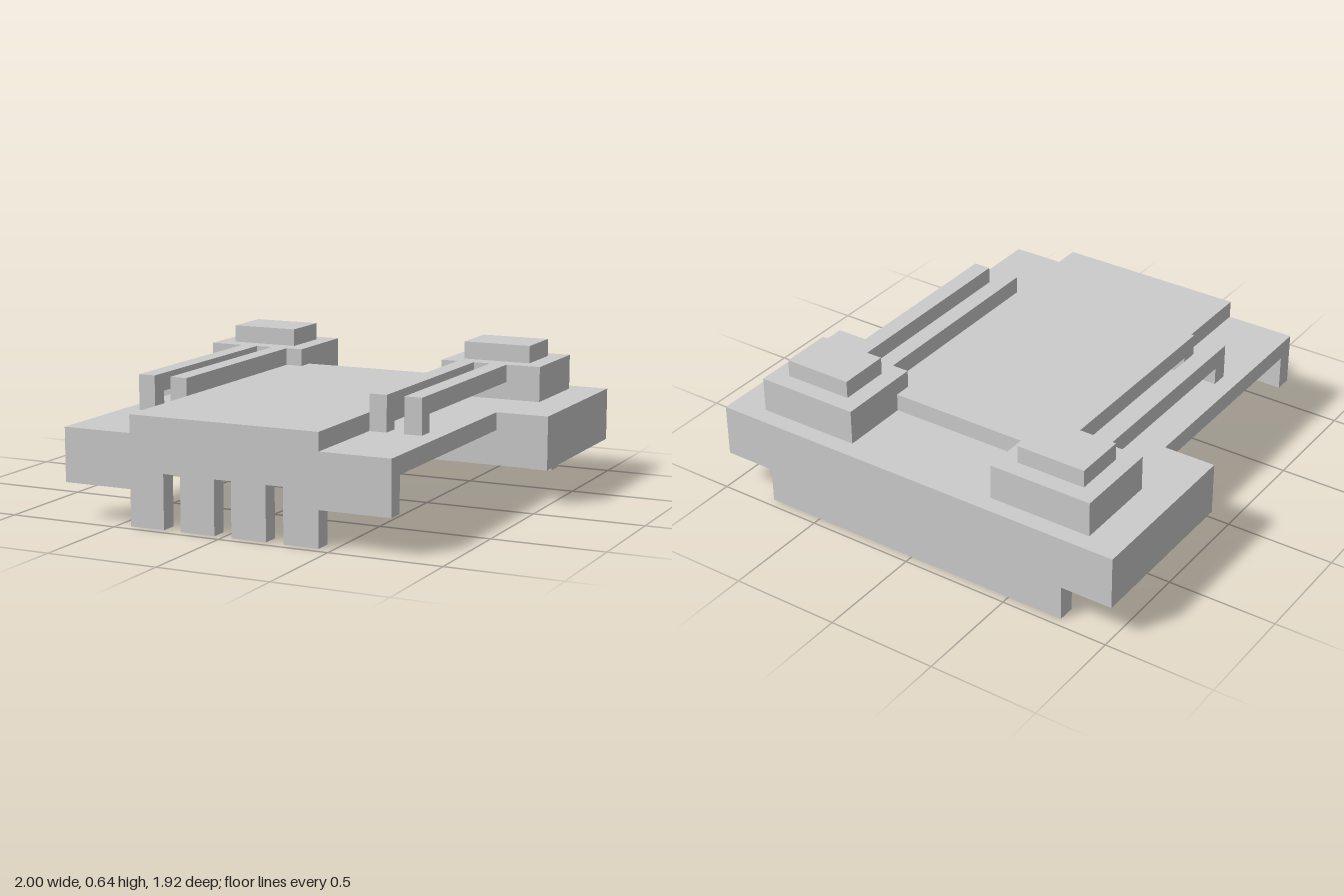
import * as THREE from 'three';

const material = new THREE.MeshStandardMaterial({ color: 0xcccccc, flatShading: true });

// Box given by its lower and upper limits on each axis
function block(name, [x0, x1], [y0, y1], [z0, z1]) {
  const mesh = new THREE.Mesh(new THREE.BoxGeometry(x1 - x0, y1 - y0, z1 - z0), material);
  mesh.name = name;
  mesh.position.set((x0 + x1) / 2, (y0 + y1) / 2, (z0 + z1) / 2);
  return mesh;
}

// Plate extruded from the right half (x > 0) of an outline symmetric about x = 0
function plate(name, half, depth) {
  const mirrored = half.map(([x, y]) => [-x, y]).reverse();
  const shape = new THREE.Shape([...half, ...mirrored].map(([x, y]) => new THREE.Vector2(x, y)));
  const mesh = new THREE.Mesh(new THREE.ExtrudeGeometry(shape, { depth, bevelEnabled: false }), material);
  mesh.name = name;
  return mesh;
}

export function createModel() {
  const model = new THREE.Group();
  model.name = 'steppedPlatform';

  // T-shaped deck, wide at the back
  const deck = plate('deck', [[0.76, -0.96], [0.76, 0.16], [1, 0.16], [1, 0.96]], 0.08);
  deck.rotation.x = -Math.PI / 2;
  deck.position.y = 0.32;
  model.add(deck);

  // Raised panel along the middle
  model.add(block('raisedPanel', [-0.44, 0.44], [0.4, 0.48], [-0.56, 0.96]));

  // Front wall with four teeth
  const frontWall = plate('frontToothedWall', [
    [0.04, 0.24], [0.04, 0], [0.2, 0], [0.2, 0.24], [0.28, 0.24], [0.28, 0],
    [0.44, 0], [0.44, 0.16], [0.76, 0.16], [0.76, 0.32],
  ], 0.08);
  frontWall.position.z = 0.88;
  model.add(frontWall);

  // Back wall, narrower where it reaches the ground
  const backWall = plate('backWall', [[0.76, 0], [0.76, 0.16], [1, 0.16], [1, 0.32]], 0.08);
  backWall.position.z = -0.96;
  model.add(backWall);

  // Parts repeated on both sides
  for (const [side, s] of [['left', 1], ['right', -1]]) {
    const span = (a, b) => (s > 0 ? [a, b] : [-b, -a]);
    model.add(block(`${side}SideWall`, span(0.92, 1), [0.16, 0.32], [-0.88, -0.16]));
    model.add(block(`${side}Pedestal`, span(0.36, 0.84), [0.4, 0.56], [-0.88, -0.48]));
    model.add(block(`${side}PedestalCap`, span(0.44, 0.76), [0.56, 0.64], [-0.8, -0.56]));

    // Pair of raised rails, each ending in a foot
    for (const [place, x] of [['Inner', 0.44], ['Outer', 0.6]]) {
      const rail = new THREE.Group();
      rail.name = `${side}${place}Rail`;
      rail.add(block('railBar', span(x, x + 0.08), [0.48, 0.56], [-0.48, 0.48]));
      rail.add(block('railFoot', span(x, x + 0.08), [0.4, 0.48], [0.4, 0.48]));
      model.add(rail);
    }
  }
  return model;
}
